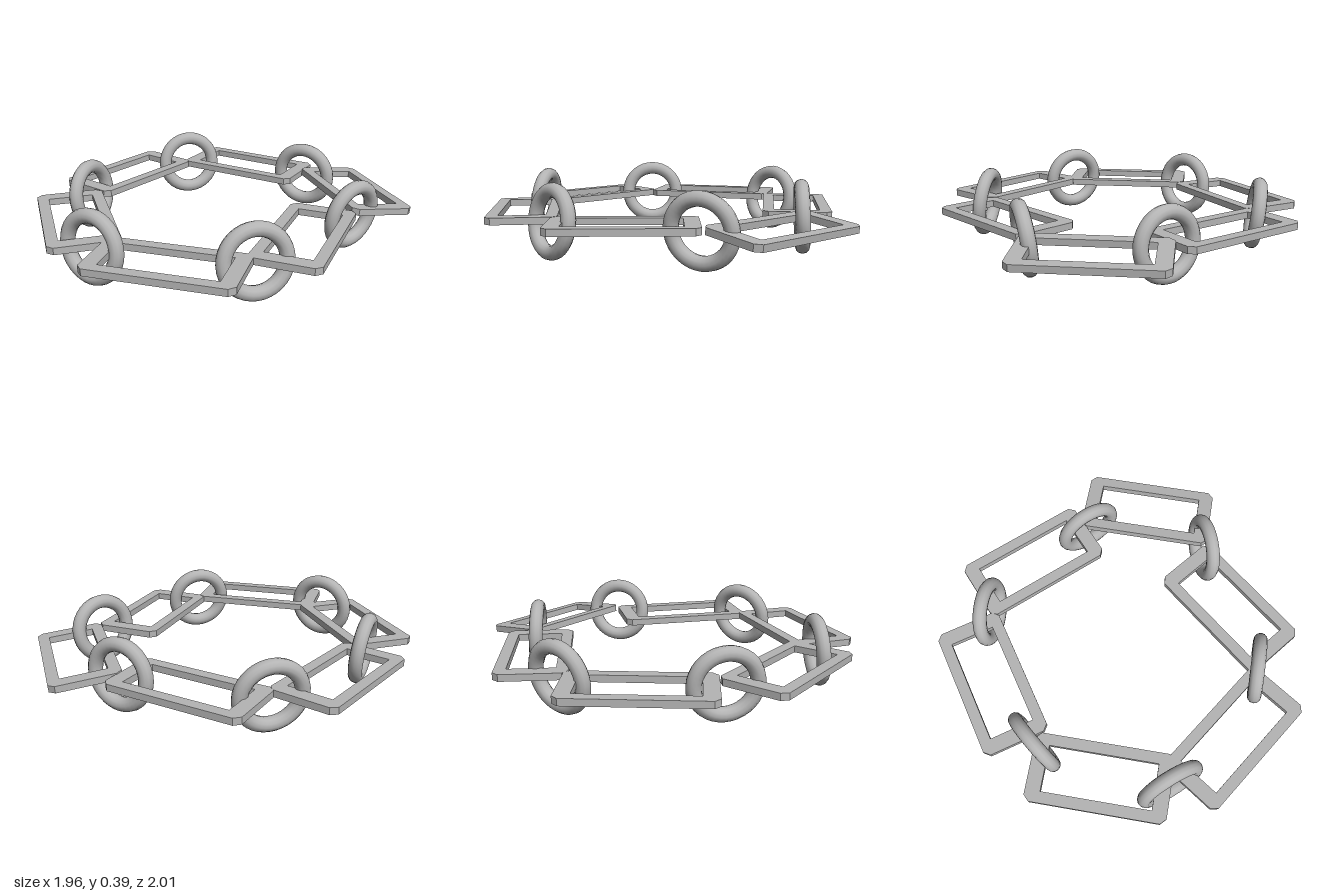
import * as THREE from 'three';

const grey = new THREE.MeshStandardMaterial({ color: 0xb4b4b4 });
grey.name = 'steel grey';

// Flat rectangular link with chamfered outer corners, long axis along x
function makeFrameGeometry() {
  const L = 0.37, W = 0.18, c = 0.03, end = 0.08, side = 0.06, t = 0.036;
  const outline = [
    [-L + c, -W], [L - c, -W], [L, -W + c], [L, W - c],
    [L - c, W], [-L + c, W], [-L, W - c], [-L, -W + c],
  ].map(([x, y]) => new THREE.Vector2(x, y));
  const shape = new THREE.Shape(outline);
  const l = L - end, w = W - side;
  shape.holes.push(new THREE.Path(
    [[-l, -w], [-l, w], [l, w], [l, -w]].map(([x, y]) => new THREE.Vector2(x, y))
  ));
  const geo = new THREE.ExtrudeGeometry(shape, { depth: t, bevelEnabled: false });
  geo.translate(0, 0, -t / 2);
  geo.rotateX(-Math.PI / 2);
  return geo;
}

export function createModel() {
  const model = new THREE.Group();
  model.name = 'chainBracelet';
  const deg = Math.PI / 180;

  // Rectangular links: x, y, z, heading in degrees, tilt about z
  const frames = [
    [-0.80, 0.205, 0.01, 90, 0],
    [-0.392, 0.205, -0.66, 34.8, 0],
    [0.357, 0.205, -0.587, -47.7, 0],
    [0.80, 0.196, 0.01, 90, -0.1],
    [0.262, 0.203, 0.555, 50.7, 0],
    [-0.47, 0.205, 0.67, -33.4, 0],
  ];
  const frameGeo = makeFrameGeometry();
  frames.forEach(([x, y, z, a, tilt], i) => {
    const m = new THREE.Mesh(frameGeo, grey);
    m.name = `rectangularLink${i + 1}`;
    m.position.set(x, y, z);
    m.rotation.set(0, a * deg, tilt, 'ZYX');
    model.add(m);
  });

  // Upright connecting rings: x, z, heading in degrees, lean
  const rings = [
    [0.01, -0.765, 0, -0.12],
    [0.63, -0.32, -48, 0.04],
    [0.61, 0.368, 23, 0.12],
    [-0.07, 0.752, 0, -0.12],
    [-0.77, 0.373, -50, -0.08],
    [-0.672, -0.365, 50, -0.1],
  ];
  const ringGeo = new THREE.TorusGeometry(0.156, 0.038, 12, 36);
  rings.forEach(([x, z, a, lean], i) => {
    const m = new THREE.Mesh(ringGeo, grey);
    m.name = `roundLink${i + 1}`;
    m.position.set(x, 0.202, z);
    m.rotation.set(lean, a * deg, 0, 'YXZ');
    model.add(m);
  });

  return model;
}
